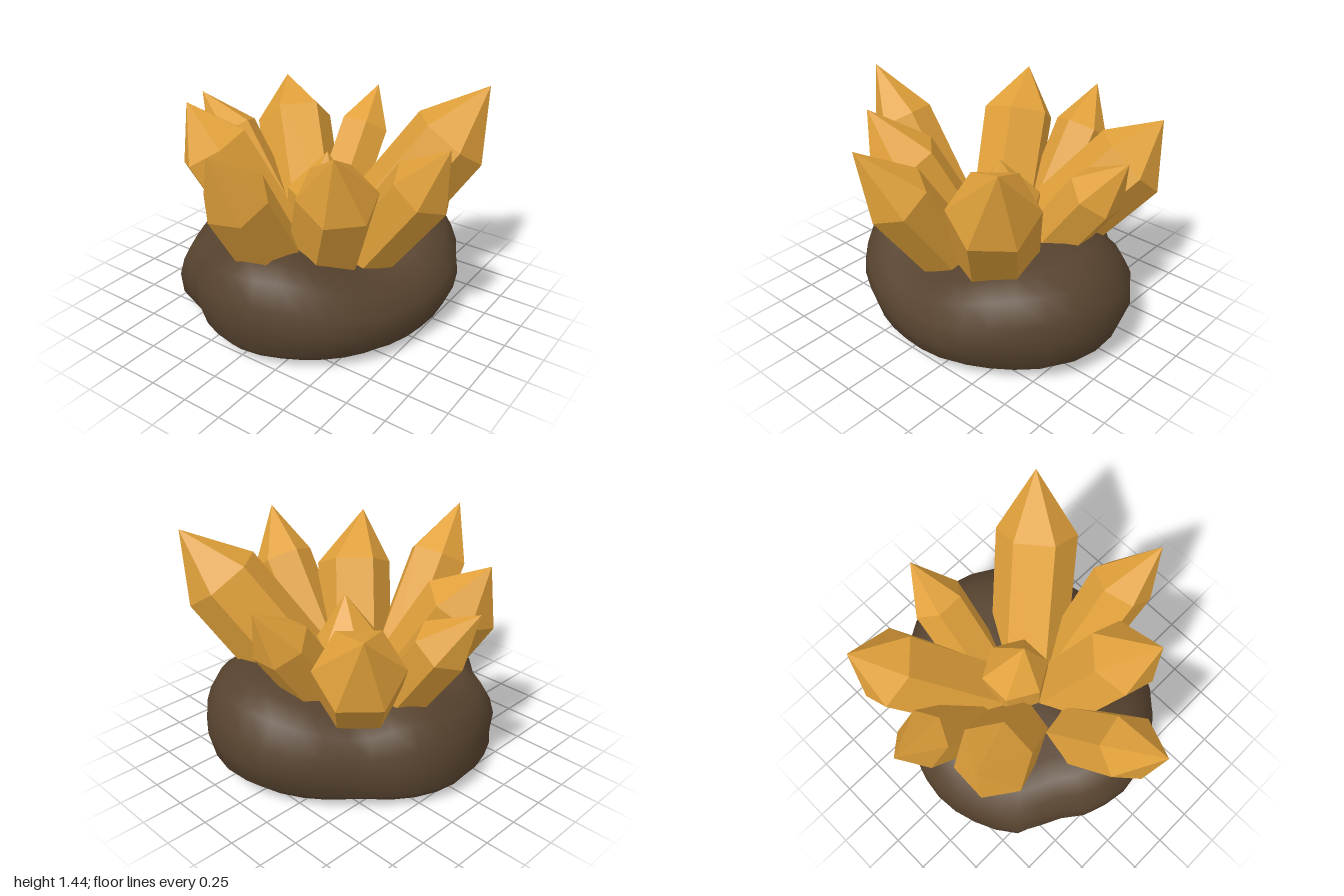
import * as THREE from 'three';
import { mergeVertices } from 'three/addons/utils/BufferGeometryUtils.js';

const amber = new THREE.MeshStandardMaterial({ color: 0xe0a03a });
amber.name = 'amber crystal';
const brown = new THREE.MeshStandardMaterial({ color: 0x57432f });
brown.name = 'brown rock';

const V = (a) => new THREE.Vector3(...a);

// Smooth lookup in a closed table of values spaced evenly round the circle
function around(table, angle) {
  const n = table.length;
  const t = ((angle / (2 * Math.PI)) * n + n) % n;
  const i = Math.floor(t);
  const f = t - i;
  const [a, b, c, d] = [-1, 0, 1, 2].map((k) => table[(i + k + n) % n]);
  return b + 0.5 * f * (c - a + f * (2 * a - 5 * b + 4 * c - d + f * (3 * (b - c) + d - a)));
}

// Boulder: a lathe whose outline and height change with the angle (from +x towards +z)
function makeRock() {
  const outline = [0.83, 0.82, 0.83, 0.85, 0.88, 0.84, 0.87, 0.85, 0.85, 0.83, 0.8, 0.9, 0.99, 1.01, 0.95, 0.9];
  const height = [0.46, 0.48, 0.56, 0.65, 0.66, 0.59, 0.52, 0.5, 0.55, 0.58, 0.51, 0.59, 0.66, 0.66, 0.63, 0.54];
  const profile = [
    [0, 0], [0.4, 0], [0.74, 0], [0.86, 0.07], [0.95, 0.2], [1, 0.46], [0.98, 0.67],
    [0.9, 0.88], [0.77, 1], [0.6, 1.01], [0.3, 0.98], [0, 0.96],
  ].map((p) => new THREE.Vector2(...p));
  let geo = new THREE.LatheGeometry(profile, 36);
  const pos = geo.attributes.position;
  for (let i = 0; i < pos.count; i++) {
    const x = pos.getX(i), y = pos.getY(i), z = pos.getZ(i);
    const s = Math.hypot(x, z);
    const a = Math.atan2(z, x);
    const edge = Math.min(1, s / 0.7);
    const dent = 1 + 0.012 * Math.sin(5 * a + 7 * y) * Math.sin(3.1 * y);
    const notch = 1 - 0.09 * Math.exp(-(((a - 2.18) / 0.12) ** 2)); // hollow at the front right
    const foot = 1 + 0.13 * Math.max(0, -Math.cos(a)) ** 3 * Math.max(0, 1 - 2.2 * y); // wide foot on the right
    const r = around(outline, a) * dent * notch * foot;
    const h = around(height, a) * edge + 0.58 * (1 - edge);
    pos.setXYZ(i, x * r, y * h, z * r);
  }
  geo.deleteAttribute('uv');
  geo.deleteAttribute('normal');
  geo = mergeVertices(geo, 1e-4);
  geo.computeVertexNormals();
  const rock = new THREE.Mesh(geo, brown);
  rock.name = 'rock';
  return rock;
}

// Six-sided crystal: tapered shaft from base to shoulder ring, then a point at the tip.
// A roll of 0 puts a ridge on top, FLAT puts a face on top.
const FLAT = Math.PI / 6;
function makeCrystal({ name, base, shoulder, tip, r, roll = 0, taper = 0.93, up = [0, 1, 0] }) {
  const b = V(base), c = V(shoulder), t = V(tip);
  const axis = c.clone().sub(b);
  const length = axis.length();
  axis.normalize();
  const side = axis.clone().cross(V(up)).normalize();
  const ridge = side.clone().cross(axis);
  const lathe = new THREE.LatheGeometry(
    [[r * taper, 0], [r, length], [0, length + 0.3]].map((p) => new THREE.Vector2(...p)), 6, roll);
  const pos = lathe.attributes.position;
  const apex = [];
  for (let i = 0; i < pos.count; i++) if (pos.getY(i) > length + 0.2) apex.push(i);
  lathe.applyMatrix4(new THREE.Matrix4().makeBasis(side, axis, ridge).setPosition(b));
  apex.forEach((i) => pos.setXYZ(i, t.x, t.y, t.z));
  const geo = lathe.toNonIndexed();
  geo.computeVertexNormals();
  const mesh = new THREE.Mesh(geo, amber);
  mesh.name = name;
  return mesh;
}

const crystals = [
  { name: 'frontCrystal', base: [-0.01, 0.25, 0.25], shoulder: [0.03, 1.07, 0.78], tip: [0.04, 1.39, 1.0], r: 0.2, roll: FLAT + 0.15, taper: 1 },
  { name: 'frontLeftCrystal', base: [0.09, 0.22, 0.06], shoulder: [0.42, 1.03, 0.37], tip: [0.51, 1.34, 0.55], r: 0.24, roll: FLAT, taper: 1 },
  { name: 'leftCrystal', base: [0.28, 0.35, 0.0], shoulder: [0.77, 1.05, 0.04], tip: [0.97, 1.36, 0.13], r: 0.2 },
  { name: 'backLeftCrystal', base: [0.13, 0.28, -0.15], shoulder: [0.63, 1.12, -0.56], tip: [0.79, 1.44, -0.73], r: 0.255, roll: FLAT, taper: 1 },
  { name: 'backCrystal', base: [-0.08, 0.27, -0.2], shoulder: [-0.09, 0.99, -0.71], tip: [-0.1, 1.23, -0.9], r: 0.175, roll: FLAT, taper: 1 },
  { name: 'backRightCrystal', base: [-0.15, 0.37, -0.17], shoulder: [-0.6, 0.97, -0.6], tip: [-0.75, 1.23, -0.72], r: 0.255, roll: FLAT, taper: 0.95 },
  { name: 'rightCrystal', base: [-0.3, 0.35, -0.1], shoulder: [-0.76, 1.0, -0.11], tip: [-0.97, 1.24, -0.07], r: 0.175 },
  { name: 'frontRightCrystal', base: [-0.15, 0.3, 0.08], shoulder: [-0.57, 1.06, 0.28], tip: [-0.73, 1.33, 0.33], r: 0.235 },
  { name: 'centreCrystal', base: [-0.02, 0.3, -0.09], shoulder: [-0.02, 0.77, -0.1], tip: [0.04, 1.05, -0.08], r: 0.215, up: [0, 0, 1] },
];

export function createModel() {
  const model = new THREE.Group();
  model.name = 'crystalCluster';
  model.add(makeRock());
  const cluster = new THREE.Group();
  cluster.name = 'crystals';
  crystals.forEach((c) => cluster.add(makeCrystal(c)));
  model.add(cluster);
  return model;
}
